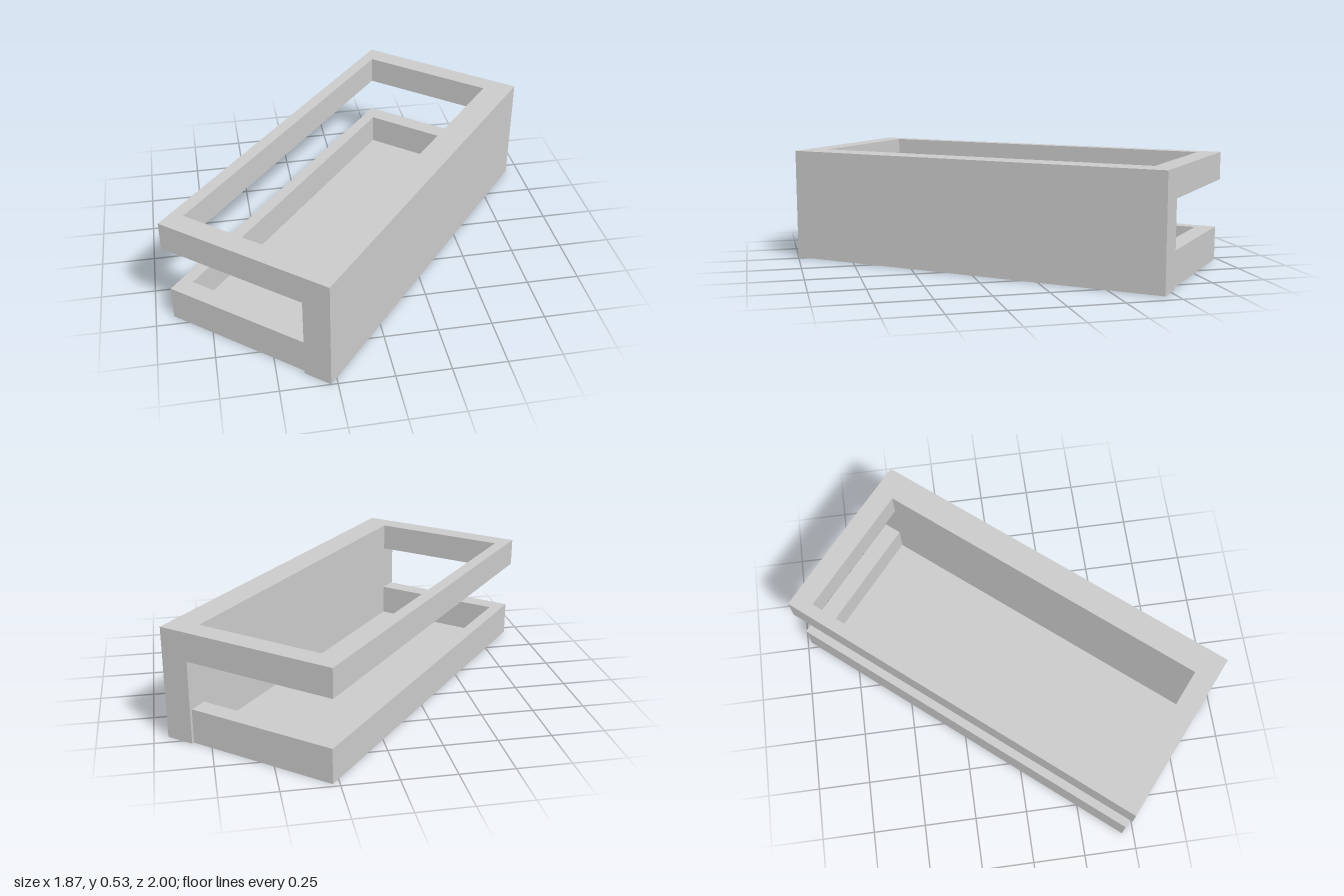
import * as THREE from 'three';

const material = new THREE.MeshStandardMaterial({ color: 0xcccccc, flatShading: true });
const HALF_L = 0.945, HALF_D = 0.429; // half length and depth of the casing
const WALL_Z = 0.296;                 // inner face of the solid wall
const HOLE_X = 0.845;                 // half length of both openings
const TRAY_X = 0.932, TRAY_Z = -0.417, TRAY_HOLE_Z = -0.359;

const points = (list) => list.map(([x, z]) => new THREE.Vector2(x, -z));
const rect = (x, z0, z1) => [[-x, z1], [x, z1], [x, z0], [-x, z0]];

// Extrudes a plan outline (x, z) upward from y0 to y1
function slab(name, outline, y0, y1, hole) {
  const shape = new THREE.Shape(points(outline));
  if (hole) shape.holes.push(new THREE.Path(points(hole)));
  const geometry = new THREE.ExtrudeGeometry(shape, { depth: y1 - y0, bevelEnabled: false });
  geometry.rotateX(-Math.PI / 2).translate(0, y0, 0);
  const mesh = new THREE.Mesh(geometry, material);
  mesh.name = name;
  return mesh;
}

export function createModel() {
  const casing = new THREE.Group();
  casing.name = 'openCasing';

  // Upper rectangular frame with a through opening
  casing.add(slab('topFrame', rect(HALF_L, -HALF_D, HALF_D), 0.397, 0.531,
    rect(HOLE_X, -0.37, WALL_Z)));

  // Solid long wall carrying the frame
  casing.add(slab('longWall', rect(HALF_L, WALL_Z, HALF_D), 0, 0.397));

  // Lower tray: three-sided rim closed by the wall, over a thin floor
  casing.add(slab('trayRim', [
    [-HOLE_X, WALL_Z], [-HOLE_X, TRAY_HOLE_Z], [HOLE_X, TRAY_HOLE_Z], [HOLE_X, WALL_Z],
    [TRAY_X, WALL_Z], [TRAY_X, TRAY_Z], [-TRAY_X, TRAY_Z], [-TRAY_X, WALL_Z],
  ], 0, 0.164));
  casing.add(slab('trayFloor', rect(HOLE_X, TRAY_HOLE_Z, WALL_Z), 0, 0.012));

  // The whole casing stands turned on the ground
  casing.rotation.y = THREE.MathUtils.degToRad(50);
  const model = new THREE.Group();
  model.name = 'model';
  model.add(casing);
  return model;
}
